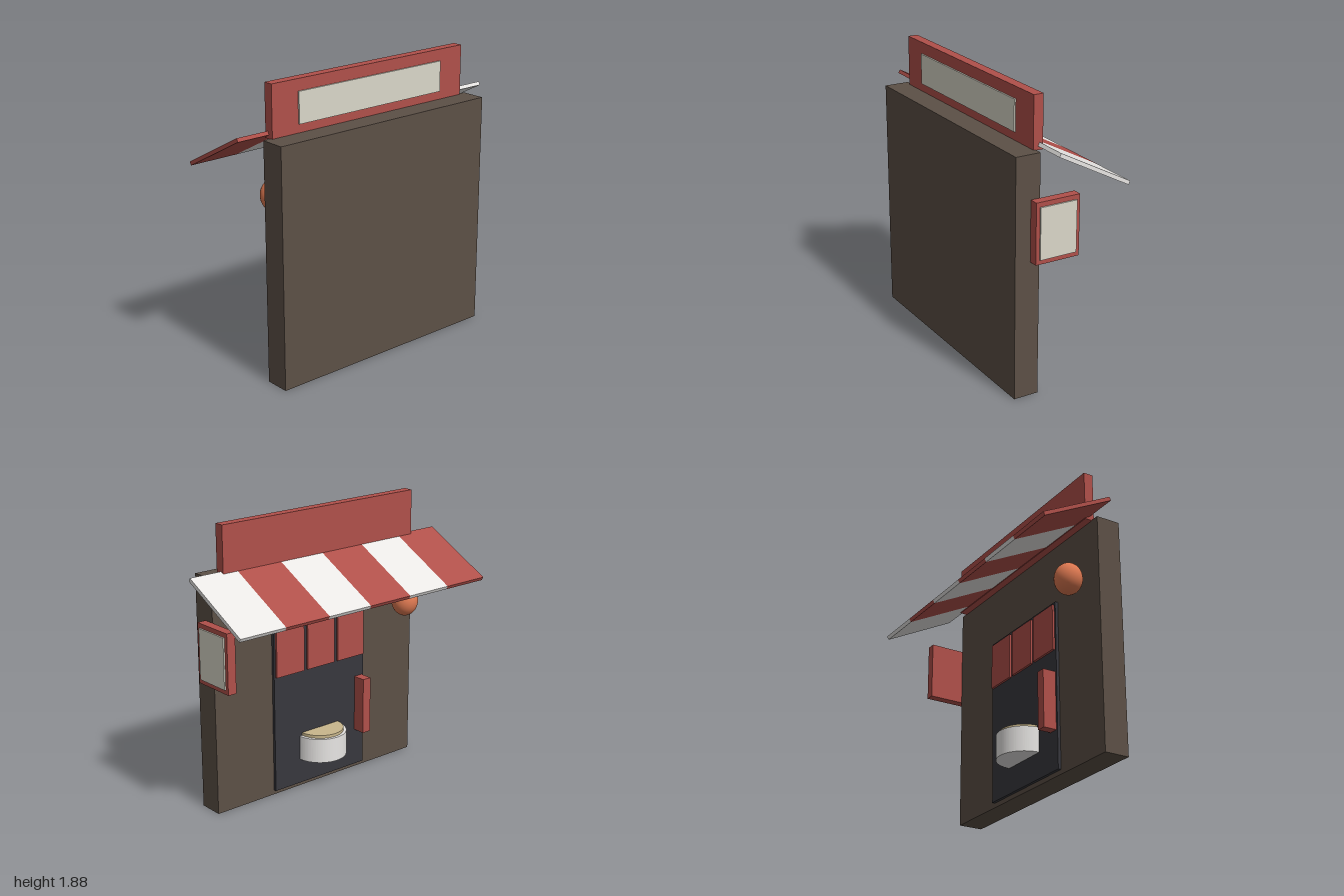
import * as THREE from 'three';

const mat = (color) => new THREE.MeshStandardMaterial({ color });
const red = mat(0xb0504a), cream = mat(0xdad7c9), white = mat(0xe8e6e4), wallBrown = mat(0x5c5046);
const charcoal = mat(0x38383e), tan = mat(0xc9b78c), orange = mat(0xe07a52);

export function createModel() {
  const root = new THREE.Group();
  root.name = 'shopfront';

  const add = (name, geometry, material, x, y, z) => {
    const mesh = new THREE.Mesh(geometry, material);
    mesh.name = name;
    mesh.position.set(x, y, z);
    root.add(mesh);
    return mesh;
  };
  // Box given by its limits on each axis
  const box = (name, material, [x0, x1], [y0, y1], [z0, z1]) =>
    add(name, new THREE.BoxGeometry(x1 - x0, y1 - y0, z1 - z0), material,
      (x0 + x1) / 2, (y0 + y1) / 2, (z0 + z1) / 2);
  // Half cylinder bulging towards -z, closed by a flat back
  const halfDrum = (name, material, r, [y0, y1], z) => {
    const shape = new THREE.Shape();
    shape.absarc(0, 0, r, 0, Math.PI, false);
    shape.closePath();
    const geometry = new THREE.ExtrudeGeometry(shape, { depth: y1 - y0, bevelEnabled: false, curveSegments: 24 });
    geometry.rotateX(-Math.PI / 2);
    return add(name, geometry, material, 0, y0, z);
  };

  // Wall and door panel
  box('wall', wallBrown, [-0.83, 0.83], [0, 1.555], [0.175, 0.34]);
  box('door', charcoal, [-0.38, 0.38], [0.03, 1.15], [0.155, 0.175]);

  // Hanging door curtains
  for (const x of [-0.255, 0, 0.255])
    box('doorCurtain', red, [x - 0.113, x + 0.113], [0.82, 1.13], [0.14, 0.155]);

  // Roof sign
  box('roofSign', red, [-0.775, 0.775], [1.55, 1.885], [0.125, 0.19]);
  box('roofSignPanel', cream, [-0.58, 0.58], [1.61, 1.81], [0.19, 0.2]);

  // Striped sloping awning
  const stripe = 2 / 6;
  for (let i = 0; i < 6; i++) {
    const slat = add('awningStripe', new THREE.BoxGeometry(stripe, 0.025, 0.55), i % 2 ? white : red,
      -1 + stripe * (i + 0.5), 1.457, -0.09);
    slat.rotation.x = -0.485;
  }

  // Side sign
  box('sideSign', red, [0.835, 0.895], [0.89, 1.28], [-0.06, 0.24]);
  box('sideSignPanel', cream, [0.895, 0.905], [0.92, 1.25], [-0.035, 0.215]);

  // Upright board by the door
  box('uprightBoard', red, [-0.367, -0.303], [0.285, 0.67], [0.065, 0.155]);

  // Half-round bowl and its filling
  halfDrum('bowl', white, 0.175, [0.2, 0.365], 0.155);
  halfDrum('bowlFilling', tan, 0.155, [0.365, 0.385], 0.155);

  // Lantern
  add('lantern', new THREE.SphereGeometry(0.09, 32, 20), orange, -0.667, 1.155, 0.06).scale.y = 1.15;

  return root;
}
